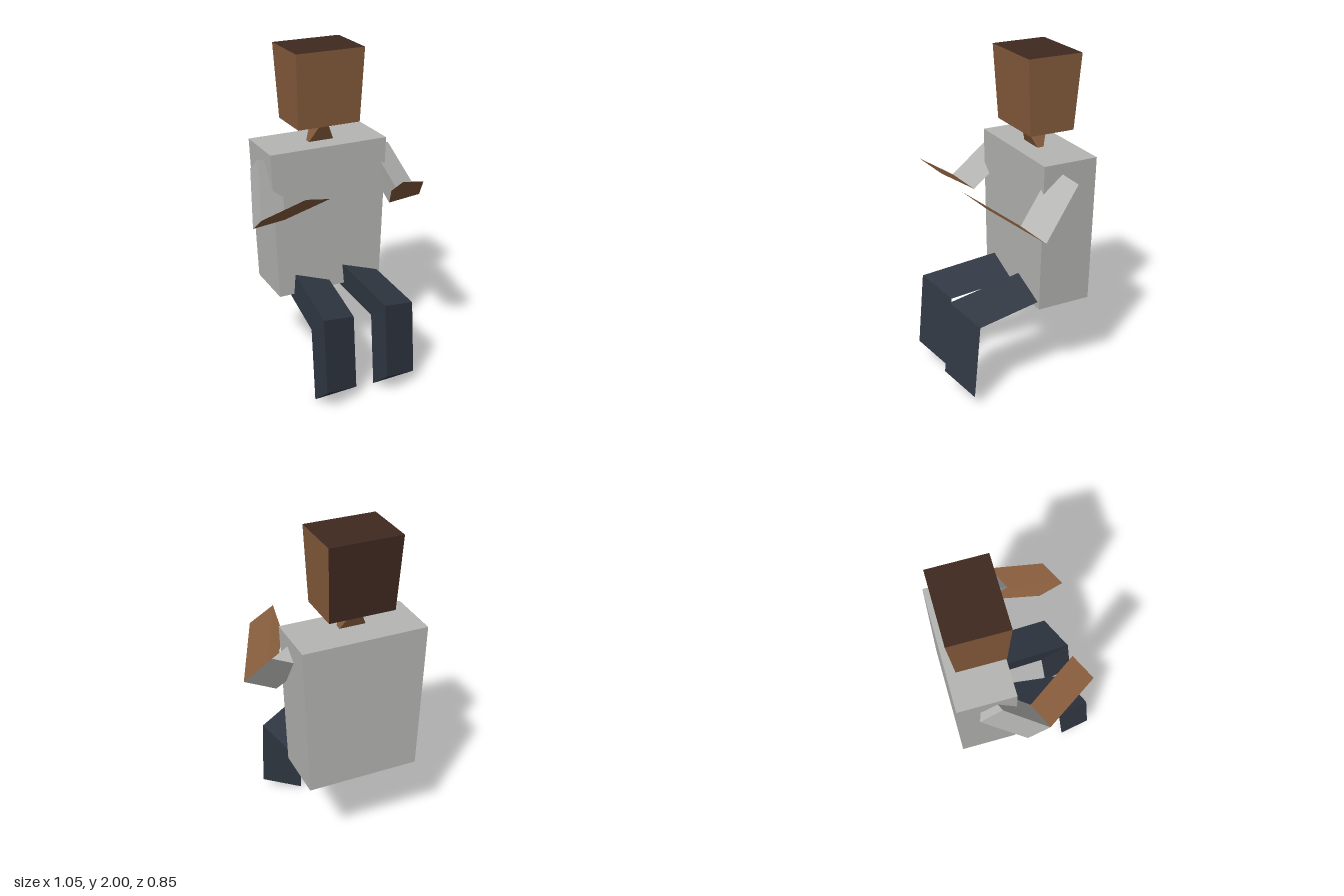
import * as THREE from 'three';

const mat = (name, color) => {
  const m = new THREE.MeshStandardMaterial({ color });
  m.name = name;
  return m;
};

// Box with separate bottom and top rectangles, given as [x0, x1, z0, z1]
function taperedBox(bottom, top, y0, y1) {
  const g = new THREE.BoxGeometry(1, 1, 1);
  const p = g.attributes.position;
  for (let i = 0; i < p.count; i++) {
    const r = p.getY(i) > 0 ? top : bottom;
    p.setXYZ(i, p.getX(i) > 0 ? r[1] : r[0], p.getY(i) > 0 ? y1 : y0, p.getZ(i) > 0 ? r[3] : r[2]);
  }
  g.computeVertexNormals();
  return g;
}

// Three-sided limb segment: one triangular section swept from start to end
function limb(section, start, end, startCap, endCap) {
  const place = (o) => section.map((s) => s.map((v, k) => v + o[k]));
  const A = place(start), B = place(end), tris = [];
  for (let i = 0; i < 3; i++) {
    const j = (i + 1) % 3;
    tris.push(A[i], B[i], B[j], A[i], B[j], A[j]);
  }
  if (startCap) tris.push(A[0], A[1], A[2]);
  if (endCap) tris.push(B[2], B[1], B[0]);
  const g = new THREE.BufferGeometry();
  g.setAttribute('position', new THREE.Float32BufferAttribute(tris.flat(), 3));
  g.computeVertexNormals();
  return g;
}

export function createModel() {
  const group = new THREE.Group();
  const shirt = mat('greyShirt', 0xb5b5b3);
  const skin = mat('brownSkin', 0x865c3c);
  const hair = mat('darkHair', 0x3f2920);
  const trousers = mat('navyTrousers', 0x313843);

  const add = (name, geometry, material) => {
    const mesh = new THREE.Mesh(geometry, material);
    mesh.name = name;
    group.add(mesh);
  };

  // Torso
  add('torso', taperedBox([-0.366, 0.304, -0.425, -0.09], [-0.4, 0.338, -0.425, -0.09], 0.538, 1.44), shirt);

  // Neck: a wedge with its lower edge across and its upper edge front to back
  add('neck', taperedBox([-0.13, 0.07, -0.23, -0.23], [-0.03, -0.03, -0.32, -0.14], 1.394, 1.6), skin);

  // Head, with hair on the top and back faces
  add('head', taperedBox([-0.223, 0.165, -0.375, -0.097], [-0.241, 0.182, -0.407, -0.071], 1.558, 2),
    [skin, skin, hair, skin, skin, hair]);

  // Arms and legs share one section each; both sides point the same way
  const armSection = [[0, -0.05, -0.065], [0, 0.05, 0.065], [0.17, 0, 0]];
  const legSection = [[0, -0.0725, -0.085], [0, 0.0725, 0.085], [0.23, 0, 0]];
  const sides = [
    { side: 'left', shoulder: 0.27, elbow: 0.355, hand: 0.208, hip: 0.05, knee: 0.09 },
    { side: 'right', shoulder: -0.44, elbow: -0.53, hand: -0.38, hip: -0.262, knee: -0.3 },
  ];
  for (const s of sides) {
    const shoulder = [s.shoulder, 1.345, -0.247], elbow = [s.elbow, 1.077, 0], hand = [s.hand, 1.281, 0.282];
    add(s.side + 'UpperArm', limb(armSection, shoulder, elbow, true, false), shirt);
    // Forearm: swept almost along its own section, so it becomes a thin slab
    add(s.side + 'Forearm', limb(armSection, elbow, hand, true, true), skin);

    const hip = [s.hip, 0.592, -0.18], knee = [s.knee, 0.5275, 0.3], foot = [s.knee, 0.0725, 0.34];
    add(s.side + 'Thigh', limb(legSection, hip, knee, true, false), trousers);
    add(s.side + 'Shin', limb(legSection, knee, foot, false, true), trousers);
  }
  return group;
}
